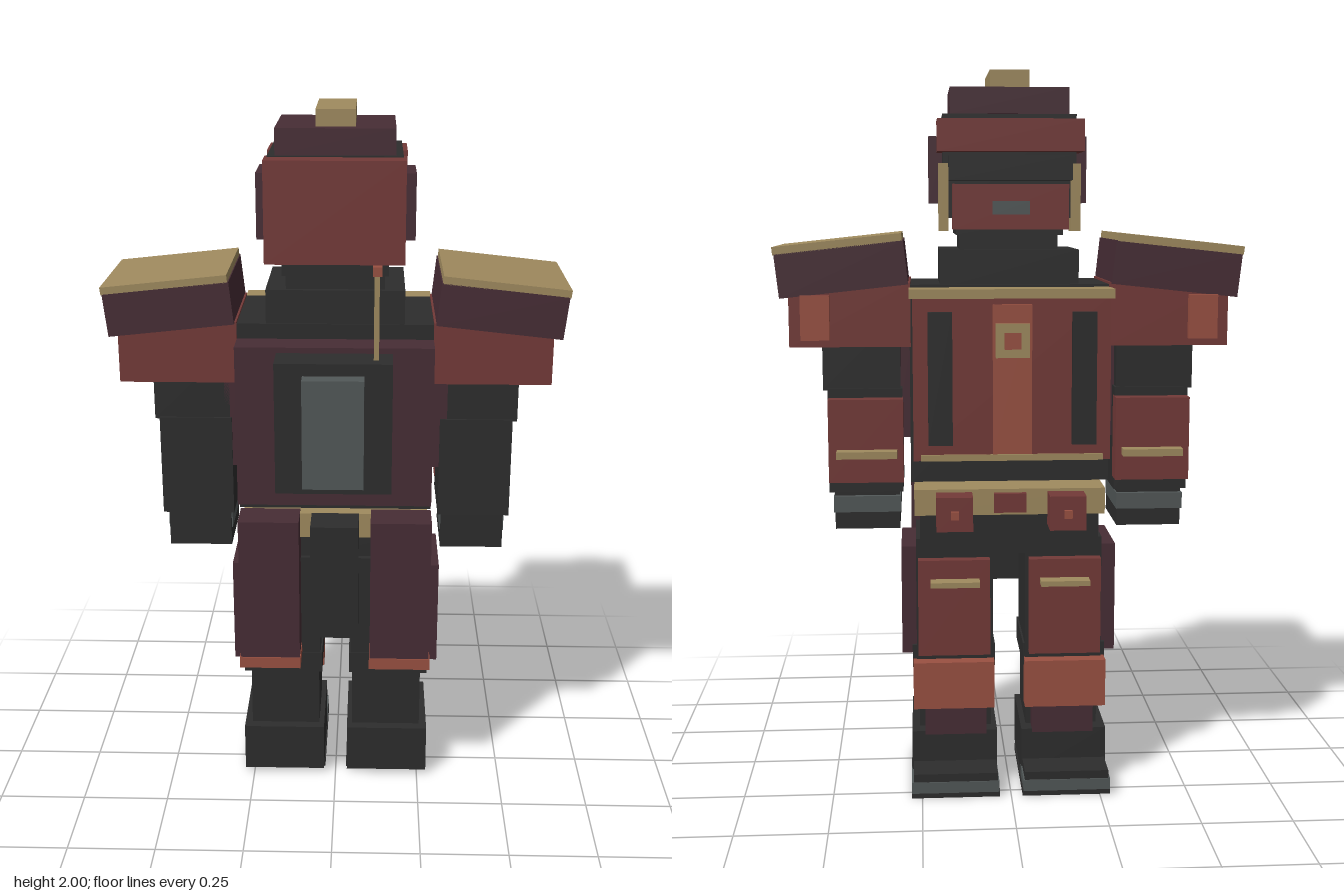
import * as THREE from 'three';

const paint = (name, color) => {
  const m = new THREE.MeshStandardMaterial({ color });
  m.name = name;
  return m;
};

export function createModel() {
  const root = new THREE.Group();
  root.name = 'armouredTrooper';
  const dark = paint('charcoal', 0x2d2d2d);
  const plum = paint('plum', 0x472d35);
  const red = paint('brickRed', 0x743a38);
  const tan = paint('brass', 0xa08b5f);
  const grey = paint('steelGrey', 0x525858);
  const orange = paint('rust', 0x9a5142);

  // Box given by its limits along x, y and z
  function box(name, mat, x0, x1, y0, y1, z0, z1) {
    const mesh = new THREE.Mesh(new THREE.BoxGeometry(x1 - x0, y1 - y0, z1 - z0), mat);
    mesh.position.set((x0 + x1) / 2, (y0 + y1) / 2, (z0 + z1) / 2);
    mesh.name = name;
    root.add(mesh);
    return mesh;
  }
  // Box centred on x = 0, by half width
  const mid = (name, mat, w, ...r) => box(name, mat, -w, w, ...r);
  // The same box on both sides
  function pair(name, mat, x0, x1, ...r) {
    box(name + 'Left', mat, x0, x1, ...r);
    box(name + 'Right', mat, -x1, -x0, ...r);
  }

  // Helmet
  mid('crest', tan, 0.053, 1.955, 2.0, -0.2, 0.065);
  mid('helmetCap', plum, 0.16, 1.885, 1.955, -0.205, 0.1);
  mid('head', dark, 0.18, 1.61, 1.885, -0.2, 0.11);
  mid('jaw', dark, 0.145, 1.565, 1.615, -0.2, 0.11);
  mid('helmetBack', red, 0.187, 1.61, 1.882, 0.08, 0.175);
  mid('brow', red, 0.195, 1.785, 1.87, -0.263, -0.11);
  mid('visor', dark, 0.165, 1.71, 1.775, -0.255, -0.19);
  mid('faceMask', red, 0.155, 1.58, 1.7, -0.258, -0.19);
  mid('mouthGrille', grey, 0.05, 1.62, 1.655, -0.266, -0.257);
  pair('cheekBar', tan, 0.165, 0.192, 1.575, 1.755, -0.205, -0.157);
  pair('earPlate', plum, 0.17, 0.217, 1.65, 1.83, -0.115, 0.04);
  mid('neck', dark, 0.135, 1.5, 1.58, -0.15, 0.09);
  mid('collar', dark, 0.19, 1.42, 1.525, -0.19, 0.105);

  // Torso
  mid('torso', dark, 0.273, 0.89, 1.432, -0.215, 0.11);
  mid('backPlate', plum, 0.27, 0.935, 1.39, 0.1, 0.2);
  pair('sidePlate', plum, 0.265, 0.315, 1.0, 1.3, -0.12, 0.06);
  mid('chestPlate', red, 0.265, 0.965, 1.41, -0.31, -0.2);
  mid('chestTopTrim', tan, 0.274, 1.4, 1.425, -0.316, -0.21);
  mid('chestBottomTrim', tan, 0.245, 0.965, 0.982, -0.317, -0.25);
  pair('chestVent', dark, 0.16, 0.225, 1.01, 1.365, -0.332, -0.3);
  mid('chestStripe', orange, 0.052, 0.985, 1.385, -0.328, -0.3);
  mid('badgeFrame', tan, 0.045, 1.245, 1.335, -0.343, -0.32);
  mid('badgeCentre', orange, 0.022, 1.268, 1.312, -0.35, -0.34);

  // Backpack and antenna
  mid('backpack', dark, 0.157, 1.01, 1.375, 0.19, 0.303);
  mid('backpackPanel', grey, 0.082, 1.04, 1.342, 0.29, 0.348);
  box('antenna', tan, 0.106, 0.12, 1.37, 1.605, 0.25, 0.264);
  box('antennaTip', orange, 0.102, 0.126, 1.6, 1.625, 0.245, 0.269);

  // Shoulders: two tilted slabs over a straight box
  for (const s of [1, -1]) {
    const side = s > 0 ? 'Left' : 'Right';
    const pauldron = new THREE.Group();
    pauldron.name = 'pauldron' + side;
    pauldron.position.set(s * 0.454, 1.474, -0.053);
    pauldron.rotation.z = -s * 0.107;
    const slab = new THREE.Mesh(new THREE.BoxGeometry(0.347, 0.118, 0.362), plum);
    slab.name = 'pauldronSlab' + side;
    const top = new THREE.Mesh(new THREE.BoxGeometry(0.347, 0.022, 0.362), tan);
    top.name = 'pauldronTop' + side;
    top.position.set(s * 0.003, 0.068, 0);
    pauldron.add(slab, top);
    root.add(pauldron);
  }
  pair('shoulder', red, 0.27, 0.597, 1.265, 1.438, -0.225, 0.115);
  pair('shoulderMark', orange, 0.487, 0.565, 1.285, 1.405, -0.247, -0.22);

  // Arms
  pair('upperArm', dark, 0.3, 0.513, 1.14, 1.35, -0.165, 0.06);
  pair('forearm', dark, 0.295, 0.5, 0.855, 1.145, -0.175, 0.066);
  pair('forearmGuard', red, 0.293, 0.498, 0.89, 1.12, -0.22, -0.155);
  pair('forearmTrim', tan, 0.31, 0.475, 0.962, 0.982, -0.258, -0.21);
  pair('hand', dark, 0.305, 0.485, 0.75, 0.86, -0.17, 0.055);
  pair('knuckleBand', grey, 0.302, 0.488, 0.8, 0.845, -0.185, 0.045);

  // Belt and hips
  mid('belt', tan, 0.265, 0.795, 0.868, -0.22, 0.1);
  mid('pelvis', dark, 0.25, 0.68, 0.797, -0.2, 0.065);
  mid('buckle', red, 0.045, 0.805, 0.858, -0.24, -0.21);
  pair('pouch', red, 0.105, 0.205, 0.765, 0.86, -0.295, -0.21);
  pair('pouchButton', orange, 0.144, 0.166, 0.8, 0.822, -0.305, -0.29);
  mid('rearFlap', dark, 0.068, 0.525, 0.87, 0.1, 0.207);
  pair('rearTasset', plum, 0.102, 0.275, 0.435, 0.87, 0.068, 0.175);
  pair('rearTassetTrim', orange, 0.1, 0.278, 0.408, 0.442, 0.067, 0.178);
  pair('sideTasset', plum, 0.24, 0.303, 0.385, 0.695, -0.165, 0.07);

  // Legs
  pair('thigh', dark, 0.045, 0.262, 0.35, 0.72, -0.182, 0.08);
  pair('thighPlate', red, 0.055, 0.257, 0.39, 0.665, -0.215, -0.17);
  pair('thighTrim', tan, 0.085, 0.222, 0.597, 0.612, -0.258, -0.205);
  pair('kneeJoint', dark, 0.04, 0.274, 0.345, 0.41, -0.175, 0.083);
  pair('kneePlate', orange, 0.043, 0.272, 0.235, 0.37, -0.22, -0.16);
  pair('shin', dark, 0.05, 0.255, 0.15, 0.36, -0.15, 0.065);
  pair('shinPlate', plum, 0.065, 0.24, 0.15, 0.34, -0.197, -0.14);

  // Boots
  pair('boot', dark, 0.035, 0.277, 0.015, 0.16, -0.195, 0.095);
  pair('toe', dark, 0.038, 0.274, 0.045, 0.07, -0.292, -0.18);
  pair('toeBand', grey, 0.034, 0.279, 0.015, 0.047, -0.295, -0.178);
  pair('sole', dark, 0.032, 0.28, 0, 0.017, -0.292, 0.058);

  return root;
}
